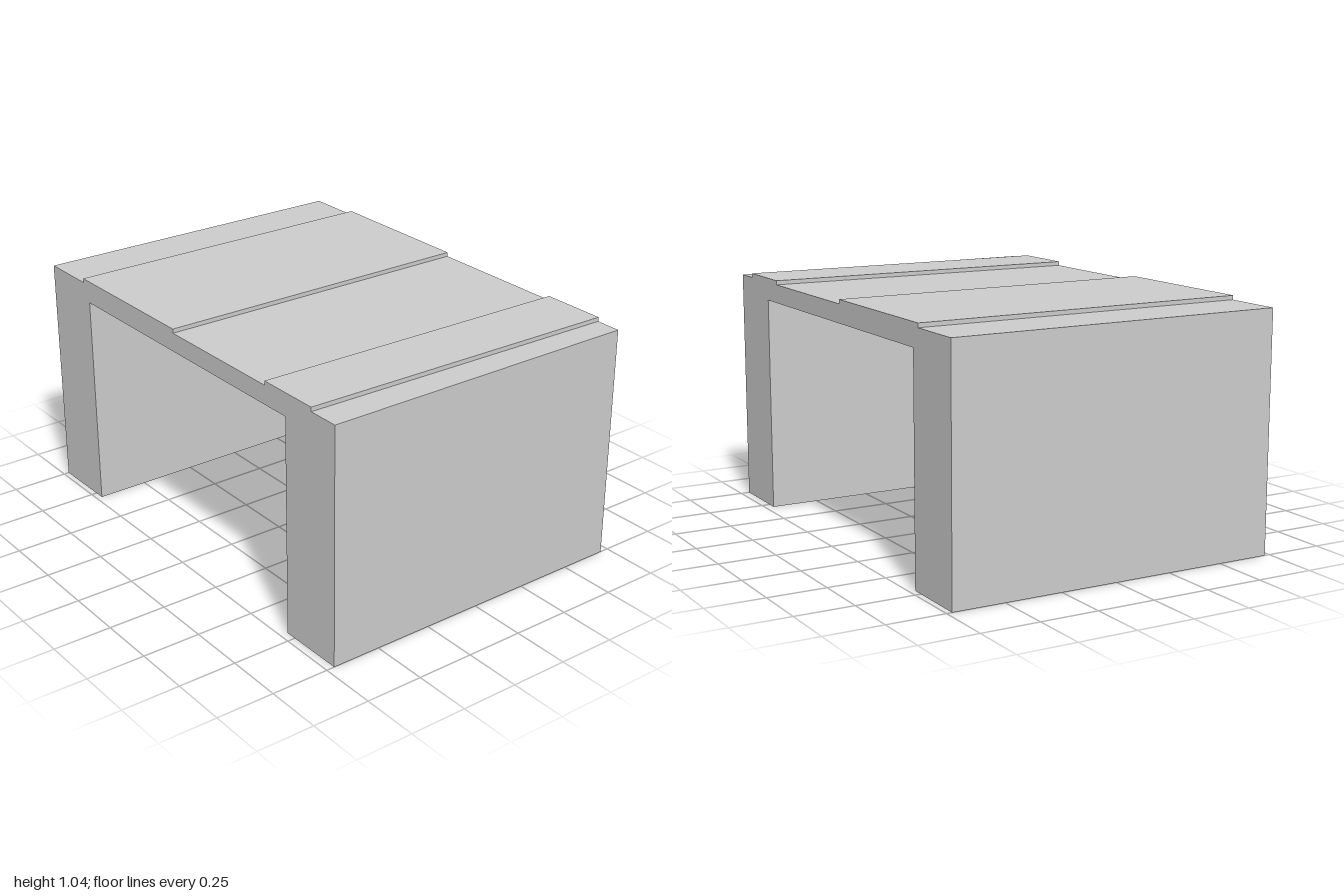
import * as THREE from 'three';

// Bridge cross-section: two abutment walls, a thin deck and two raised strips on top
const BASE = 1.021, RAISED = 1.039, SOFFIT = 0.941;
const WALL = 0.703;
const strips = [[-0.745, -0.047], [0.588, 0.875]];

function bridgeProfile() {
  const points = [[-1, 0], [-WALL, 0], [-WALL, SOFFIT], [WALL, SOFFIT], [WALL, 0], [1, 0], [1, BASE]];
  for (const [x0, x1] of [...strips].reverse()) {
    points.push([x1, BASE], [x1, RAISED], [x0, RAISED], [x0, BASE]);
  }
  points.push([-1, BASE]);
  return new THREE.Shape(points.map(([x, y]) => new THREE.Vector2(x, y)));
}

export function createModel() {
  const group = new THREE.Group();
  group.name = 'bridge';

  const geometry = new THREE.ExtrudeGeometry(bridgeProfile(), { depth: 1, bevelEnabled: false });
  const pos = geometry.attributes.position;
  for (let i = 0; i < pos.count; i++) {
    const x = pos.getX(i), y = pos.getY(i);
    // The end faces taper slightly towards +x
    const z = pos.getZ(i) > 0.5 ? 0.721 - 0.006 * x : -0.719 + 0.008 * x;
    pos.setZ(i, z);
    // The right-hand strip runs a little askew
    if (y > 1 && x > 0.5 && x < 0.95) pos.setX(i, x - 0.019 * z);
  }
  geometry.computeVertexNormals();

  const body = new THREE.Mesh(
    geometry,
    new THREE.MeshStandardMaterial({ color: 0xcccccc, flatShading: true })
  );
  body.name = 'wallsAndDeck';
  group.add(body);
  return group;
}
